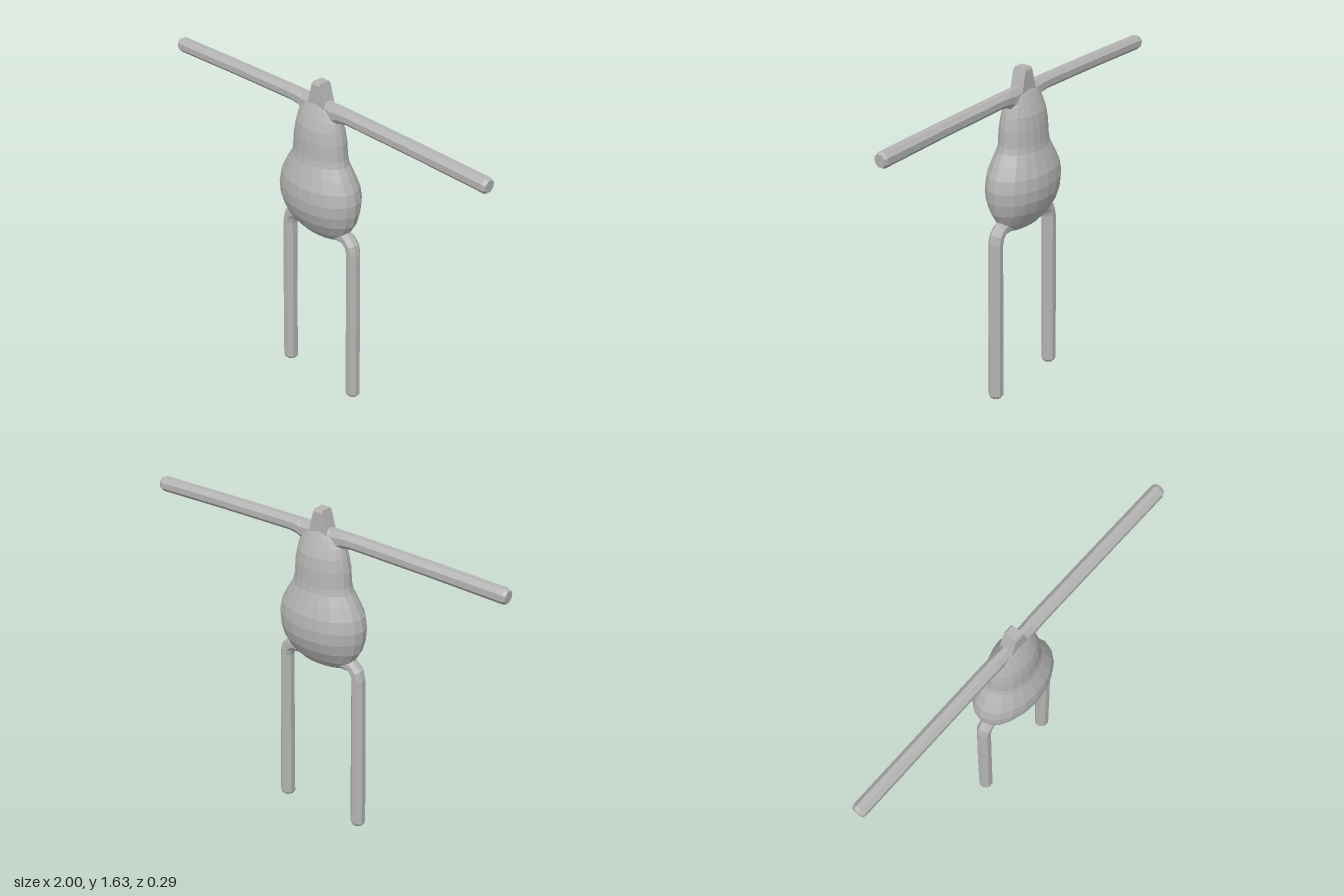
import * as THREE from 'three';

const grey = new THREE.MeshStandardMaterial({ color: 0xb4b4b4, flatShading: true });
grey.name = 'plain grey';

// Sweeps an elliptical section along a path in the XY plane.
// Each row is [x, y, radius within the plane, radius along z].
function sweep(name, rows, sides, turn = 0) {
  const pos = [], index = [];
  rows.forEach(([x, y, rn, rz], i) => {
    const a = rows[Math.max(i - 1, 0)], b = rows[Math.min(i + 1, rows.length - 1)];
    const t = new THREE.Vector2(b[0] - a[0], b[1] - a[1]).normalize();
    for (let j = 0; j < sides; j++) {
      const angle = (j / sides) * Math.PI * 2 + turn;
      const n = Math.sin(angle) * rn;
      pos.push(x + t.y * n, y - t.x * n, Math.cos(angle) * rz);
    }
  });
  for (let i = 0; i < rows.length - 1; i++) {
    for (let j = 0; j < sides; j++) {
      const k = (j + 1) % sides;
      const a = i * sides + j, b = i * sides + k, c = b + sides, d = a + sides;
      index.push(a, b, c, a, c, d);
    }
  }
  // End caps
  const last = (rows.length - 1) * sides;
  for (let j = 1; j < sides - 1; j++) {
    index.push(0, j + 1, j, last, last + j, last + j + 1);
  }
  const geometry = new THREE.BufferGeometry();
  geometry.setAttribute('position', new THREE.Float32BufferAttribute(pos, 3));
  geometry.setIndex(index);
  geometry.computeVertexNormals();
  const mesh = new THREE.Mesh(geometry, grey);
  mesh.name = name;
  return mesh;
}

export function createModel() {
  const model = new THREE.Group();
  model.name = 'pearShapedFigure';

  // Pear-shaped body: [y, half width, half depth]
  const profile = [
    [0.842, 0.07, 0.02], [0.855, 0.125, 0.045], [0.9, 0.182, 0.085], [0.96, 0.216, 0.12],
    [1.02, 0.231, 0.14], [1.08, 0.235, 0.145], [1.14, 0.223, 0.139], [1.2, 0.193, 0.119],
    [1.25, 0.162, 0.102], [1.28, 0.154, 0.097], [1.36, 0.149, 0.092], [1.42, 0.138, 0.083],
    [1.47, 0.125, 0.064], [1.51, 0.105, 0.046], [1.545, 0.06, 0.028],
  ];
  model.add(sweep('body', profile.map(([y, w, d]) => [-0.008, y, w, d]), 20));

  // Small tapered block for a head
  const r = Math.SQRT2;
  model.add(sweep('head', [
    [-0.003, 1.5, 0.055 * r, 0.035 * r], [-0.003, 1.54, 0.048 * r, 0.035 * r],
    [-0.003, 1.622, 0.026 * r, 0.034 * r], [-0.003, 1.635, 0.023 * r, 0.026 * r],
  ], 4, Math.PI / 4));

  for (const side of [1, -1]) {
    const label = side > 0 ? 'left' : 'right';

    // Straight arm, flared under the shoulder
    model.add(sweep(label + 'Arm', [
      [0, 1.5, 0.053, 0.034], [0.1, 1.503, 0.05, 0.035], [0.13, 1.512, 0.041, 0.036],
      [0.18, 1.515, 0.037, 0.036], [0.6, 1.508, 0.037, 0.036],
      [0.985, 1.498, 0.038, 0.036], [1, 1.497, 0.031, 0.029],
    ].map(([x, y, n, z]) => [x * side, y, n, z]), 8, Math.PI / 8));

    // Leg, bent inward at the hip
    model.add(sweep(label + 'Leg', [
      [0.225, 0, 0.029, 0.027], [0.225, 0.015, 0.038, 0.037], [0.222, 0.4, 0.037, 0.037],
      [0.217, 0.82, 0.034, 0.036], [0.208, 0.855, 0.036, 0.036],
      [0.182, 0.882, 0.036, 0.036], [0.12, 0.895, 0.045, 0.036],
    ].map(([x, y, n, z]) => [x * side - 0.003, y, n, z]), 8, Math.PI / 8));
  }
  return model;
}
